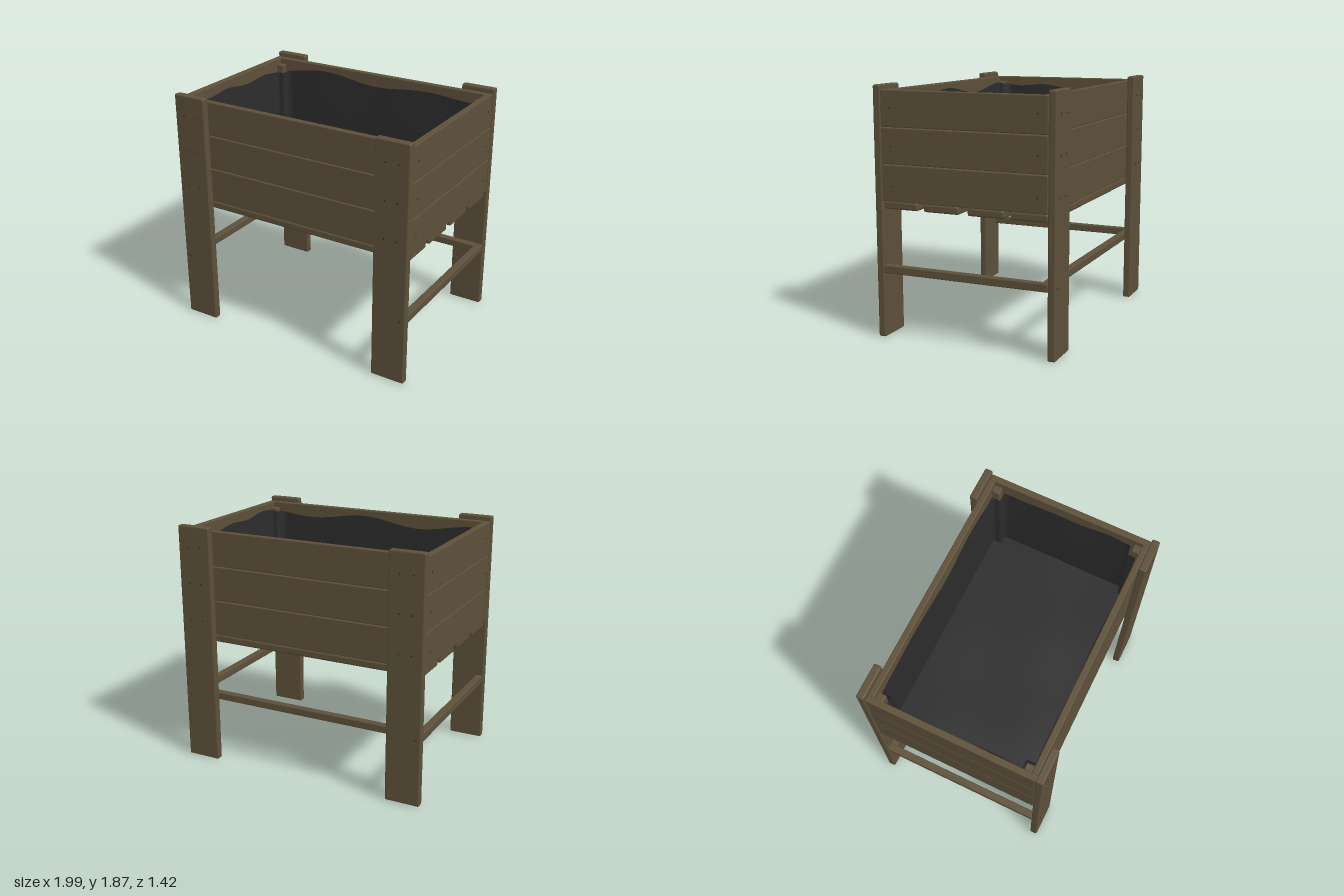
import * as THREE from 'three';
import { RoundedBoxGeometry } from 'three/addons/geometries/RoundedBoxGeometry.js';

const wood = new THREE.MeshStandardMaterial({ color: 0x5d503a });
wood.name = 'wood';
const lining = new THREE.MeshStandardMaterial({ color: 0x2c2c2c, side: THREE.DoubleSide });
lining.name = 'black lining';
const steel = new THREE.MeshStandardMaterial({ color: 0x2e281f });
steel.name = 'dark screw';

// Plank given by its min and max corners
function plank(parent, name, [x0, y0, z0], [x1, y1, z1], radius = 0.008) {
  const mesh = new THREE.Mesh(new RoundedBoxGeometry(x1 - x0, y1 - y0, z1 - z0, 2, radius), wood);
  mesh.position.set((x0 + x1) / 2, (y0 + y1) / 2, (z0 + z1) / 2);
  mesh.name = name;
  parent.add(mesh);
  return mesh;
}

// Small screw head facing along a given direction
const screwGeometry = new THREE.CylinderGeometry(0.006, 0.006, 0.008, 8);
const up = new THREE.Vector3(0, 1, 0);
function screw(parent, x, y, z, dx, dy, dz) {
  const mesh = new THREE.Mesh(screwGeometry, steel);
  mesh.position.set(x, y, z);
  mesh.quaternion.setFromUnitVectors(up, new THREE.Vector3(dx, dy, dz));
  mesh.name = 'screw';
  parent.add(mesh);
}

// Wall of the lining: a perimeter notched round the corner posts, with a wavy rim
function liningWall() {
  const X = 0.928, Z = 0.59, n = 0.068;
  const corners = [
    [X - n, Z], [X - n, Z - n], [X, Z - n],
    [X, n - Z], [X - n, n - Z], [X - n, -Z],
    [n - X, -Z], [n - X, n - Z], [-X, n - Z],
    [-X, Z - n], [n - X, Z - n], [n - X, Z],
  ];
  const ring = [];
  corners.forEach(([x, z], i) => {
    const [nx, nz] = corners[(i + 1) % corners.length];
    const steps = Math.max(2, Math.round(Math.hypot(nx - x, nz - z) / 0.05));
    for (let k = 0; k < steps; k++) ring.push([x + (nx - x) * k / steps, z + (nz - z) * k / steps]);
  });
  const rows = 8, count = ring.length, position = [], index = [];
  for (let r = 0; r <= rows; r++) {
    const v = r / rows;
    ring.forEach(([x, z]) => {
      const wave = 0.02 * Math.sin(7 * x + 2 * z) + 0.012 * Math.sin(13 * z - 5 * x + 1);
      const pull = 1 - 0.012 * Math.sin(Math.PI * v) - 0.006 * v * (1 + Math.sin(9 * x + 11 * z));
      position.push(x * pull, 1.04 + v * (0.72 + wave), z * pull);
    });
  }
  for (let r = 0; r < rows; r++) {
    for (let i = 0; i < count; i++) {
      const a = r * count + i, b = r * count + (i + 1) % count;
      index.push(a, b, a + count, b, b + count, a + count);
    }
  }
  const geometry = new THREE.BufferGeometry();
  geometry.setAttribute('position', new THREE.Float32BufferAttribute(position, 3));
  geometry.setIndex(index);
  geometry.computeVertexNormals();
  return geometry;
}

// Floor of the lining, gently rumpled
function liningFloor() {
  const geometry = new THREE.PlaneGeometry(1.86, 1.18, 24, 16).rotateX(-Math.PI / 2);
  const p = geometry.attributes.position;
  for (let i = 0; i < p.count; i++) {
    const x = p.getX(i), z = p.getZ(i);
    p.setY(i, 1.045 + 0.005 * Math.sin(5 * x + 3 * z) * Math.cos(6 * z - 2 * x));
  }
  geometry.computeVertexNormals();
  return geometry;
}

export function createModel() {
  const model = new THREE.Group();
  model.name = 'raisedPlanter';
  const boardRows = [[1.03, 1.298], [1.302, 1.566], [1.57, 1.835]];

  // Box walls: three boards on each side
  const walls = new THREE.Group();
  walls.name = 'boxWalls';
  model.add(walls);
  for (const [y0, y1] of boardRows) {
    plank(walls, 'frontBoard', [-0.94, y0, 0.598], [0.94, y1, 0.645]);
    plank(walls, 'backBoard', [-0.94, y0, -0.645], [0.94, y1, -0.598]);
    plank(walls, 'leftBoard', [0.938, y0, -0.645], [0.988, y1, 0.648]);
    plank(walls, 'rightBoard', [-0.988, y0, -0.645], [-0.938, y1, 0.648]);
  }

  // Bottom slats running lengthways, with gaps between
  const bottom = new THREE.Group();
  bottom.name = 'bottomSlats';
  model.add(bottom);
  for (const [z0, z1] of [[0.37, 0.645], [0.04, 0.32], [-0.31, -0.03], [-0.643, -0.36]]) {
    plank(bottom, 'bottomSlat', [-0.975, 0.97, z0], [0.975, 1.03, z1], 0.016);
    for (const x of [-0.93, 0.93]) {
      for (const z of [z0 + 0.06, z1 - 0.06]) screw(bottom, x, 0.969, z, 0, -1, 0);
    }
  }

  // Legs, inner corner posts and their screws
  for (const sx of [-1, 1]) {
    for (const sz of [-1, 1]) {
      const corner = new THREE.Group();
      corner.name = 'corner';
      model.add(corner);
      const xs = [0.725 * sx, 0.995 * sx].sort((a, b) => a - b);
      const zs = [0.647 * sz, 0.706 * sz].sort((a, b) => a - b);
      plank(corner, 'leg', [xs[0], 0, zs[0]], [xs[1], 1.87, zs[1]], 0.012);
      const px = [0.878 * sx, 0.94 * sx].sort((a, b) => a - b);
      const pz = [0.538 * sz, 0.6 * sz].sort((a, b) => a - b);
      plank(corner, 'cornerPost', [px[0], 1.03, pz[0]], [px[1], 1.79, pz[1]]);
      for (const y of [1.14, 1.43, 1.71]) {
        screw(corner, 0.91 * sx, y, 0.705 * sz, 0, 0, sz);
        screw(corner, 0.81 * sx, y, 0.705 * sz, 0, 0, sz);
        screw(corner, 0.987 * sx, y, 0.57 * sz, sx, 0, 0);
      }
      screw(corner, 0.95 * sx, 0.52, 0.705 * sz, 0, 0, sz);
    }
  }

  // Stretcher rails between the legs
  plank(model, 'leftRail', [0.932, 0.49, -0.65], [0.99, 0.55, 0.65]);
  plank(model, 'rightRail', [-0.99, 0.49, -0.65], [-0.932, 0.55, 0.65]);
  plank(model, 'backRail', [-0.935, 0.495, -0.648], [0.935, 0.553, -0.59]);

  // Lining inside the box
  const liner = new THREE.Group();
  liner.name = 'lining';
  const wall = new THREE.Mesh(liningWall(), lining);
  wall.name = 'liningWall';
  const floor = new THREE.Mesh(liningFloor(), lining);
  floor.name = 'liningFloor';
  liner.add(wall, floor);
  model.add(liner);

  return model;
}
